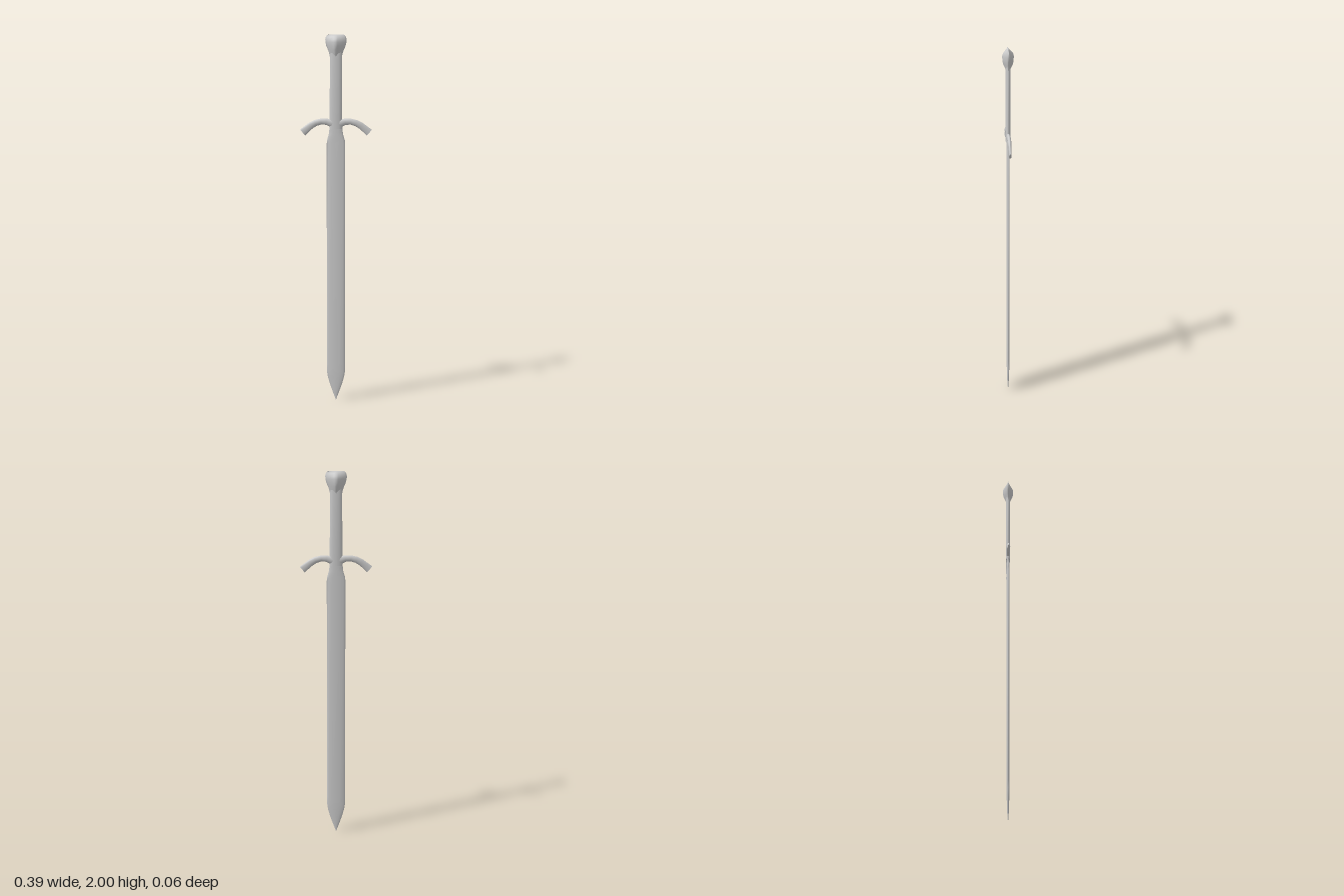
import * as THREE from 'three';

const material = new THREE.MeshStandardMaterial({ color: 0xcccccc });

// Unit cross-sections: [in-plane, depth]
const DIAMOND = [[1, 0], [0.85, 0.2], [0.5, 0.53], [0.2, 0.84], [0, 1]];
const BLADE = [[1, 0], [0.8, 0.6], [0.4, 0.85], [0, 1]];
const ROUND = Array.from({ length: 4 }, (_, i) => [Math.cos(i * Math.PI / 6), Math.sin(i * Math.PI / 6)]);

// Mirror a quarter section into a closed loop
function closeSection(quarter) {
  const half = [...quarter, ...quarter.slice(0, -1).reverse().map(([a, b]) => [-a, b])];
  return [...half, ...half.slice(1, -1).reverse().map(([a, b]) => [a, -b])];
}

// Loft a section along a path in the xy plane; each ring is [x, y, halfWidth, halfDepth]
function loft(name, quarter, rings) {
  const section = closeSection(quarter);
  const n = section.length;
  const positions = [];
  const index = [];
  rings.forEach(([x, y, w, d], i) => {
    const a = rings[Math.max(i - 1, 0)];
    const b = rings[Math.min(i + 1, rings.length - 1)];
    const t = new THREE.Vector2(b[0] - a[0], b[1] - a[1]).normalize();
    for (const [p, q] of section) positions.push(x + t.y * p * w, y - t.x * p * w, q * d);
    if (i === 0) return;
    for (let j = 0; j < n; j++) {
      const k = (j + 1) % n;
      const lo = (i - 1) * n, hi = i * n;
      index.push(lo + j, hi + j, lo + k, lo + k, hi + j, hi + k);
    }
  });
  // End caps with their own vertices so the rims stay sharp
  for (const end of [0, rings.length - 1]) {
    const base = positions.length / 3;
    positions.push(...positions.slice(end * n * 3, (end + 1) * n * 3));
    positions.push(rings[end][0], rings[end][1], 0);
    for (let j = 0; j < n; j++) {
      const k = (j + 1) % n;
      if (end === 0) index.push(base + n, base + j, base + k);
      else index.push(base + n, base + k, base + j);
    }
  }
  const geometry = new THREE.BufferGeometry();
  geometry.setAttribute('position', new THREE.Float32BufferAttribute(positions, 3));
  geometry.setIndex(index);
  geometry.computeVertexNormals();
  const mesh = new THREE.Mesh(geometry, material);
  mesh.name = name;
  return mesh;
}

const upright = (rows) => rows.map(([y, w, d]) => [0, y, w, d]);

export function createModel() {
  const group = new THREE.Group();
  group.name = 'sword';

  // Blade: pointed tip, long parallel edges, narrowed shoulder under the guard
  group.add(loft('blade', BLADE, upright([
    [0, 0.001, 0.001], [0.04, 0.016, 0.004], [0.09, 0.034, 0.006], [0.13, 0.045, 0.007],
    [0.16, 0.05, 0.008], [0.2, 0.05, 0.008], [1.42, 0.05, 0.008], [1.44, 0.048, 0.008],
    [1.47, 0.039, 0.008], [1.49, 0.036, 0.008], [1.53, 0.035, 0.008],
  ])));

  // Grip
  group.add(loft('grip', ROUND, upright([
    [1.5, 0.035, 0.012], [1.56, 0.034, 0.012], [1.88, 0.032, 0.012], [1.91, 0.032, 0.012],
  ])));

  // Pommel: flares out, then closes to a ridge running across the top
  group.add(loft('pommel', DIAMOND, upright([
    [1.88, 0.032, 0.011], [1.895, 0.034, 0.014], [1.92, 0.042, 0.026], [1.94, 0.051, 0.029],
    [1.96, 0.056, 0.03], [1.975, 0.057, 0.026], [1.988, 0.054, 0.016], [1.997, 0.048, 0.005],
    [2, 0.043, 0.001],
  ])));

  // Guard: drooping arms that thin toward the ends, slight dip at the middle
  const arm = [
    [0.025, 1.531, 0.021, 0.01], [0.05, 1.539, 0.017, 0.01], [0.08, 1.54, 0.016, 0.01],
    [0.11, 1.532, 0.017, 0.01], [0.135, 1.518, 0.018, 0.008], [0.16, 1.498, 0.019, 0.006],
    [0.18, 1.481, 0.021, 0.006],
  ];
  const mirrored = arm.map(([x, ...rest]) => [-x, ...rest]).reverse();
  group.add(loft('guard', ROUND, [...mirrored, [0, 1.527, 0.024, 0.011], ...arm]));

  return group;
}
